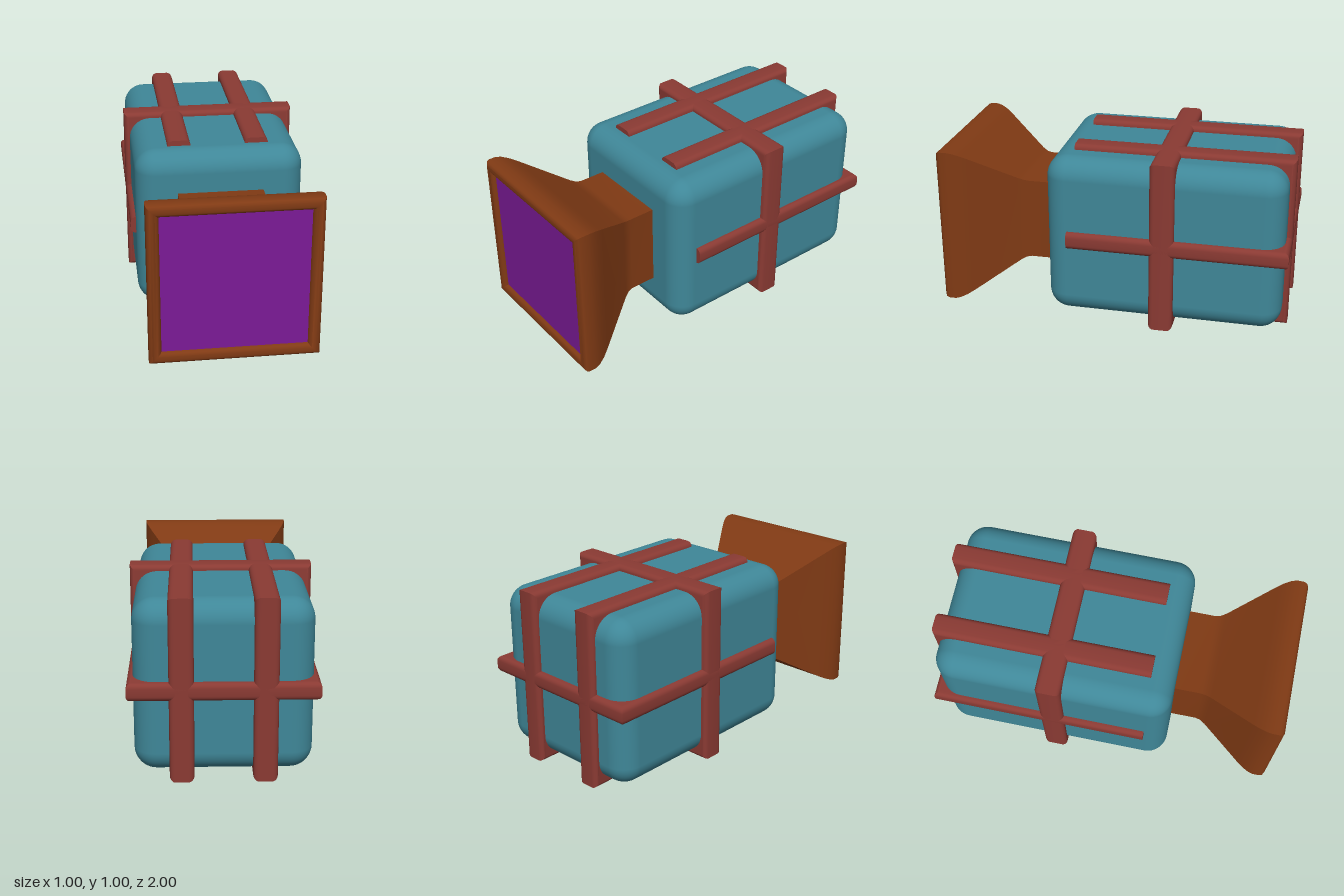
import * as THREE from 'three';
import { RoundedBoxGeometry } from 'three/addons/geometries/RoundedBoxGeometry.js';
import { toCreasedNormals } from 'three/addons/utils/BufferGeometryUtils.js';

const paint = (color) => new THREE.MeshStandardMaterial({ color });
const teal = paint(0x3f8798), red = paint(0x8a3a33), brown = paint(0x803a14), purple = paint(0x7b1a96);

function add(group, name, geometry, material) {
  const mesh = new THREE.Mesh(geometry, material);
  mesh.name = name;
  group.add(mesh);
  return mesh;
}

// Slab with rounded rims and mitred corners; it wraps the body as a strap.
function strapSlab(w, h, thickness, rim = 0.03) {
  const a = w / 2 - rim, b = h / 2 - rim;
  const shape = new THREE.Shape([[-a, -b], [a, -b], [a, b], [-a, b]].map((p) => new THREE.Vector2(...p)));
  const geo = new THREE.ExtrudeGeometry(shape, {
    depth: thickness - 2 * rim, bevelThickness: rim, bevelSize: rim, bevelSegments: 5,
  });
  return geo.translate(0, 0, rim - thickness / 2);
}

// Cut the front of a strap off square.
function cutFront(geo, z) {
  const pos = geo.attributes.position;
  for (let i = 0; i < pos.count; i++) pos.setZ(i, Math.min(pos.getZ(i), z));
  return toCreasedNormals(geo, 0.6);
}

export function createModel() {
  const model = new THREE.Group();
  model.name = 'strappedBoxWithHorn';

  // Body
  add(model, 'body', new RoundedBoxGeometry(0.94, 0.94, 1.34, 6, 0.12), teal).position.set(0, 0.5, -0.3);

  // Strap around the middle
  add(model, 'ringStrap', toCreasedNormals(strapSlab(1, 1, 0.14), 0.6), red).position.set(0, 0.5, -0.3);

  // Two upright straps running over top, back and bottom
  for (const side of [-1, 1]) {
    const geo = strapSlab(1.32, 1, 0.13).rotateY(Math.PI / 2).translate(0, 0, -0.34);
    add(model, side > 0 ? 'leftUprightStrap' : 'rightUprightStrap', cutFront(geo, 0.235), red)
      .position.set(side * 0.218, 0.5, 0);
  }

  // Level strap running along the sides and back
  const level = strapSlab(1, 1.32, 0.1).rotateX(Math.PI / 2).translate(0, 0, -0.34);
  add(model, 'levelStrap', cutFront(level, 0.24), red).position.y = 0.5;

  // Square flared horn with a rounded rim: [half width, z]
  const profile = [
    [0.24, 0.3], [0.24, 0.52], [0.245, 0.548], [0.26, 0.58], [0.41, 0.82], [0.434, 0.862], [0.45, 0.9],
    [0.457, 0.93], [0.457, 0.972], [0.452, 0.988], [0.438, 0.998], [0.425, 1], [0.41, 0.998],
    [0.398, 0.99], [0.39, 0.975], [0.388, 0.95],
  ].map(([r, z]) => new THREE.Vector2(r * Math.SQRT2, z));
  const horn = new THREE.LatheGeometry(profile, 4, Math.PI / 4).rotateX(Math.PI / 2);
  add(model, 'horn', toCreasedNormals(horn, 0.7), brown).position.y = 0.5;

  // Panel in the mouth of the horn
  add(model, 'mouthPanel', new THREE.PlaneGeometry(0.78, 0.78), purple).position.set(0, 0.5, 0.975);

  return model;
}
